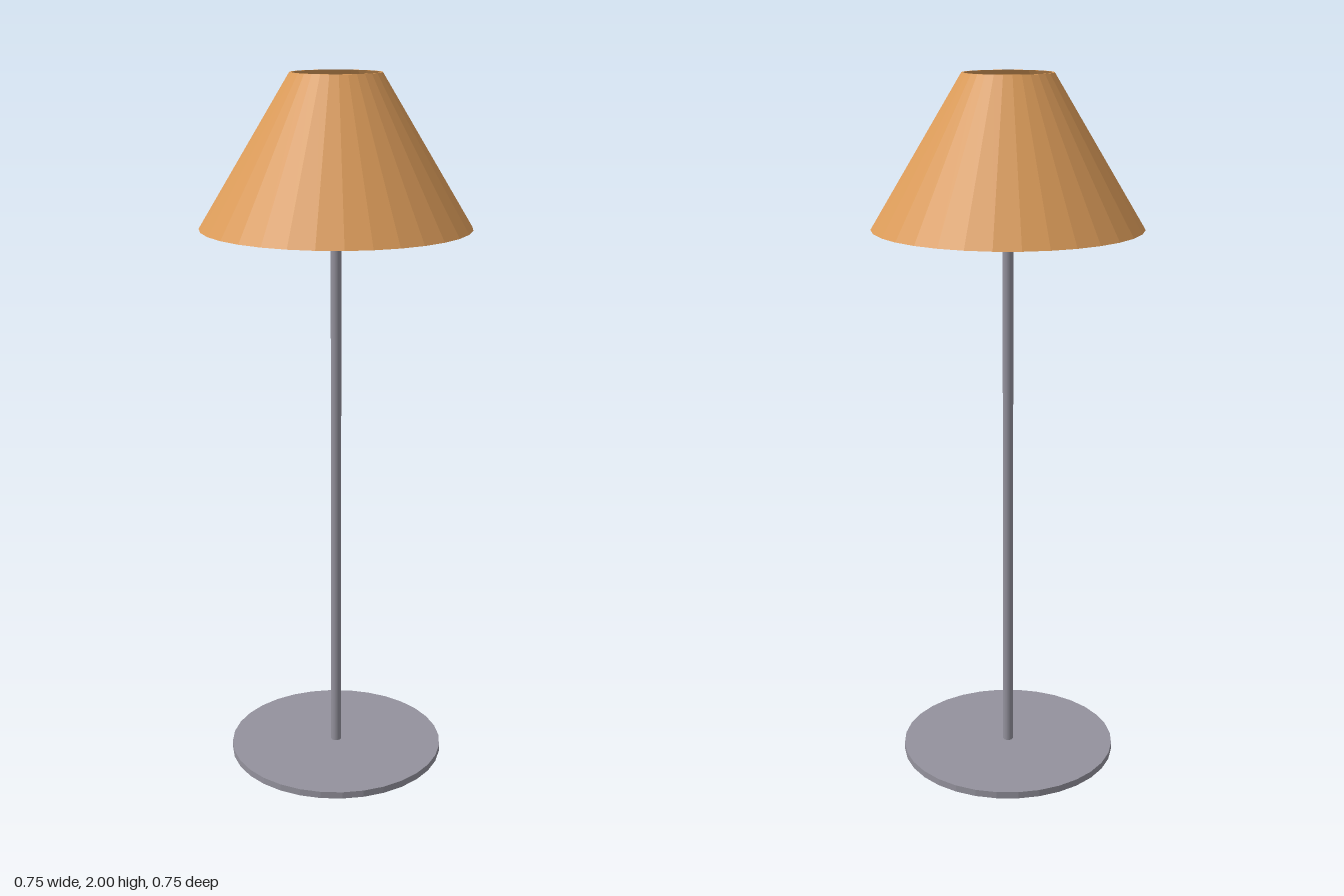
import * as THREE from 'three';

const SIDES = 32;

export function createModel() {
  const amber = new THREE.MeshStandardMaterial({ color: 0xdc9c5a, flatShading: true });
  amber.name = 'amber shade';
  const metal = new THREE.MeshStandardMaterial({ color: 0x94929d, flatShading: true });
  metal.name = 'grey metal';

  const lamp = new THREE.Group();
  lamp.name = 'floorLamp';
  const add = (name, geometry, material, y) => {
    const mesh = new THREE.Mesh(geometry, material);
    mesh.name = name;
    mesh.position.y = y;
    lamp.add(mesh);
    return mesh;
  };

  // Flat round foot and slender pole
  add('base', new THREE.CylinderGeometry(0.315, 0.315, 0.02, SIDES), metal, 0.01);
  const holderY = 1.835;
  const poleHeight = holderY - 0.02;
  add('pole', new THREE.CylinderGeometry(0.015, 0.015, poleHeight, 16), metal, 0.02 + poleHeight / 2);

  // Thin ring and crossbar that carry the shade
  const ringRadius = 0.155;
  add('shadeRing', new THREE.TorusGeometry(ringRadius, 0.003, 6, SIDES), metal, holderY).rotation.x = Math.PI / 2;
  add('crossbar', new THREE.CylinderGeometry(0.003, 0.003, ringRadius * 2, 8), metal, holderY).rotation.x = Math.PI / 2;

  // Hollow faceted cone with a thin wall, open at both ends
  const profile = [
    [0.376, 1.585], [0.125, 2], [0.119, 2], [0.37, 1.585], [0.376, 1.585],
  ].map(([r, y]) => new THREE.Vector2(r, y));
  add('shade', new THREE.LatheGeometry(profile, SIDES), amber, 0);

  return lamp;
}
